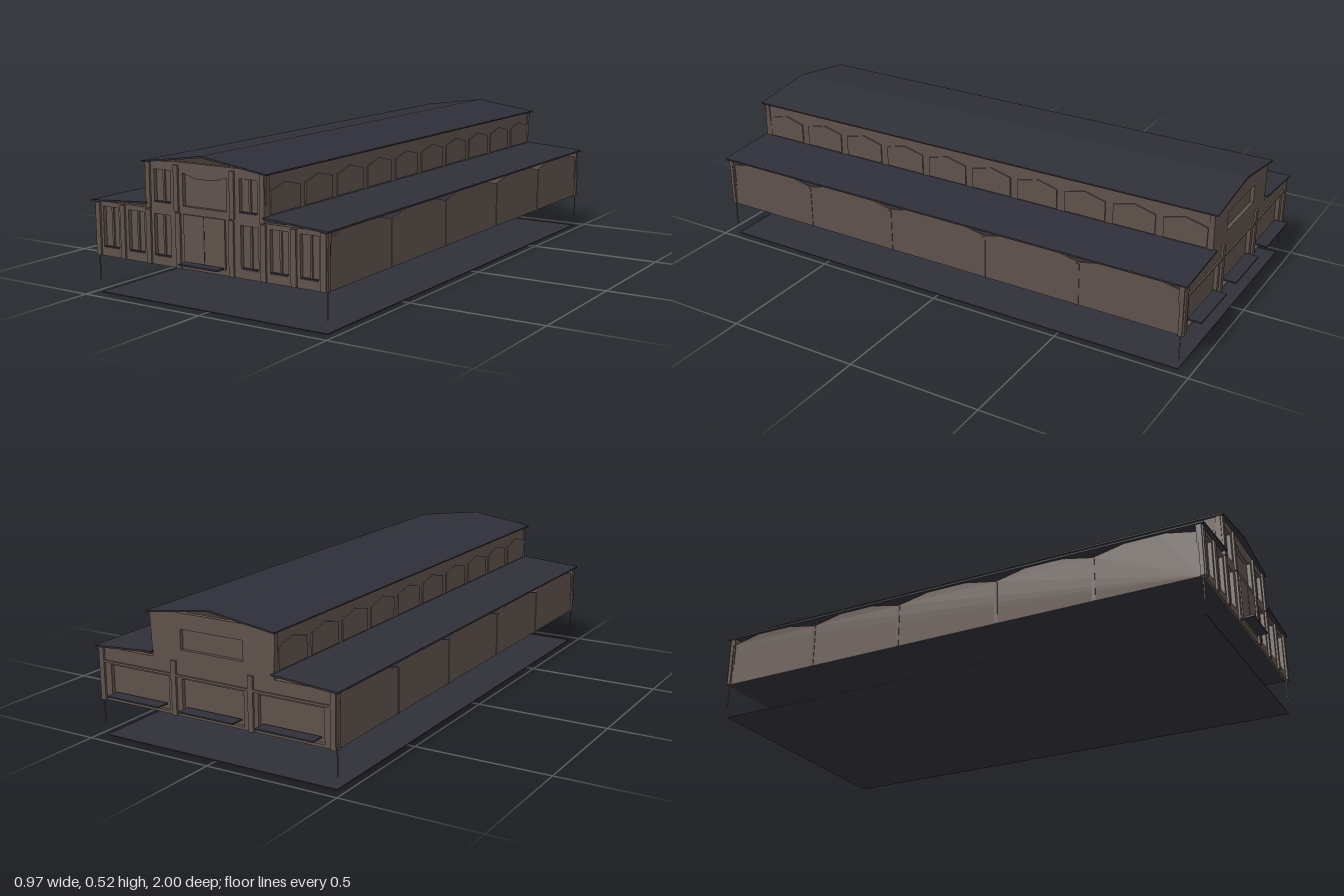
import * as THREE from 'three';

const wallMat = new THREE.MeshStandardMaterial({ color: 0x5e514b, side: THREE.DoubleSide });
wallMat.name = 'brown wall';
const roofMat = new THREE.MeshStandardMaterial({ color: 0x2f2f39, side: THREE.DoubleSide });
roofMat.name = 'dark slate';

export function createModel() {
  const model = new THREE.Group();
  model.name = 'marketHall';

  const add = (name, geo, mat, x = 0, y = 0, z = 0, parent = model) => {
    const m = new THREE.Mesh(geo, mat);
    m.name = name;
    m.position.set(x, y, z);
    parent.add(m);
    return m;
  };
  const box = (name, w, h, d, mat, x, y, z, parent) =>
    add(name, new THREE.BoxGeometry(w, h, d), mat, x, y, z, parent);
  const vecs = pts => pts.map(p => new THREE.Vector2(p[0], p[1]));
  // Upright plate from an outline, with optional openings
  const plate = (pts, depth, holes = []) => {
    const s = new THREE.Shape(vecs(pts));
    holes.forEach(h => s.holes.push(new THREE.Path(vecs(h))));
    return new THREE.ExtrudeGeometry(s, { depth, bevelEnabled: false });
  };
  const opening = (x, w, y0, y1) => [[x - w / 2, y0], [x - w / 2, y1], [x + w / 2, y1], [x + w / 2, y0]];

  // Ground sheet and raised floor
  box('groundSheet', 0.94, 0.003, 1.9, roofMat, 0, 0.0015, 0);
  box('floor', 0.94, 0.003, 1.9, roofMat, 0, 0.136, 0);

  // Long side walls: bays with shallow peaked tops
  const bays = [-0.95, -0.57, -0.2, 0.2, 0.57, 0.95];
  const bayTop = [];
  for (let i = 0; i < 5; i++) {
    const a = bays[i], w = bays[i + 1] - a;
    bayTop.push([a, 0.3], [a + w * 0.38, 0.33], [a + w * 0.62, 0.33]);
  }
  bayTop.push([0.95, 0.3]);
  const sideOutline = [...bayTop, [0.95, 0.135], [-0.95, 0.135]];
  for (const s of [-1, 1]) {
    const side = add('sideWall', plate(sideOutline, 0.006), wallMat, s * 0.47 - 0.003);
    side.rotation.y = Math.PI / 2;
    for (const z of bays.slice(1, -1)) box('sidePier', 0.008, 0.16, 0.012, wallMat, s * 0.471, 0.215, z);

    // Clerestory wall with shallow peaked panels
    box('clerestoryWall', 0.006, 0.145, 1.9, wallMat, s * 0.242, 0.4075, 0);
    for (let i = 0; i < 10; i++) {
      const z = -0.855 + i * 0.19;
      const panel = add('clerestoryPanel', plate(
        [[-0.08, 0.35], [0.08, 0.35], [0.08, 0.425], [0, 0.445], [-0.08, 0.425]], 0.005),
        wallMat, s * 0.247 - 0.0025, 0, z);
      panel.rotation.y = Math.PI / 2;
    }

    // Aisle roof and corner downpipes
    add('aisleRoof', plate(
      [[s * 0.24, 0.346], [s * 0.487, 0.329], [s * 0.487, 0.323], [s * 0.24, 0.34]], 1.94),
      roofMat, 0, 0, -0.97);
    for (const z of [-0.952, 0.952]) {
      box('downpipe', 0.003, 0.28, 0.004, wallMat, s * 0.473, 0.185, z);
      box('cornerPost', 0.012, 0.19, 0.014, wallMat, s * 0.474, 0.23, z);
    }
  }

  // Main gabled roof
  add('mainRoof', plate(
    [[-0.256, 0.483], [0, 0.519], [0.256, 0.483], [0.256, 0.478], [0, 0.513], [-0.256, 0.478]], 1.94),
    roofMat, 0, 0, -0.97);

  // Front facade: lower storey with tall recessed windows
  const front = new THREE.Group();
  front.name = 'frontFacade';
  model.add(front);
  const lower = [[-0.47, 0.135], [0.47, 0.135], [0.48, 0.325], [-0.48, 0.325]];
  const upper = [[-0.243, 0.325], [0.243, 0.325], [0.25, 0.48], [0.14, 0.49], [-0.14, 0.49], [-0.25, 0.48]];
  const lowWindows = [-0.41, -0.295, -0.18, 0.18, 0.295, 0.41];
  add('lowerFront', plate(lower, 0.014, lowWindows.map(x => opening(x, 0.07, 0.165, 0.308))),
    wallMat, 0, 0, 0.943, front);
  add('lowerFrontBacking', plate(lower, 0.004), wallMat, 0, 0, 0.939, front);
  const archTop = [[-0.09, 0.345], [-0.09, 0.455], [-0.04, 0.44], [0.04, 0.44], [0.09, 0.455], [0.09, 0.345]];
  add('upperFront', plate(upper, 0.014,
    [opening(-0.177, 0.07, 0.347, 0.458), opening(0.177, 0.07, 0.347, 0.458), archTop]),
    wallMat, 0, 0, 0.943, front);
  add('upperFrontBacking', plate(upper, 0.004), wallMat, 0, 0, 0.939, front);
  for (const x of lowWindows) {
    box('windowMullion', 0.008, 0.14, 0.006, wallMat, x, 0.236, 0.946, front);
    box('windowSill', 0.07, 0.004, 0.01, roofMat, x, 0.167, 0.95, front);
  }
  for (const x of [-0.177, 0.177]) {
    box('upperMullion', 0.008, 0.11, 0.006, wallMat, x, 0.402, 0.946, front);
    box('upperSill', 0.07, 0.004, 0.01, roofMat, x, 0.349, 0.95, front);
  }
  for (const x of [0.11, 0.237, 0.353, 0.465])
    for (const s of [-1, 1]) box('frontPilaster', 0.02, 0.185, 0.01, wallMat, s * x, 0.2285, 0.959, front);
  for (const x of [0.115, 0.235])
    for (const s of [-1, 1]) box('upperPilaster', 0.018, 0.155, 0.01, wallMat, s * x, 0.4025, 0.959, front);
  box('entrancePanel', 0.17, 0.165, 0.008, wallMat, 0, 0.2375, 0.959, front);
  box('entranceSeam', 0.003, 0.155, 0.002, roofMat, 0, 0.24, 0.963, front);
  box('entranceCanopy', 0.16, 0.006, 0.05, roofMat, 0, 0.159, 0.975, front);

  // Back facade: three loading bays under canopies, gable window above
  const back = new THREE.Group();
  back.name = 'backFacade';
  model.add(back);
  const dockX = [-0.305, 0, 0.305];
  add('lowerBack', plate(lower, 0.014, dockX.map(x => opening(x, 0.25, 0.145, 0.265))),
    wallMat, 0, 0, -0.957, back);
  add('lowerBackBacking', plate(lower, 0.004), wallMat, 0, 0, -0.943, back);
  add('upperBack', plate(upper, 0.014, [opening(0, 0.25, 0.365, 0.435)]), wallMat, 0, 0, -0.957, back);
  add('upperBackBacking', plate(upper, 0.004), wallMat, 0, 0, -0.943, back);
  for (const x of dockX) box('dockCanopy', 0.22, 0.005, 0.05, roofMat, x, 0.165, -0.975, back);
  for (const x of [-0.465, -0.155, 0.155, 0.465])
    box('backPilaster', 0.02, 0.19, 0.01, wallMat, x, 0.23, -0.96, back);
  box('backBand', 0.94, 0.008, 0.008, wallMat, 0, 0.275, -0.959, back);

  return model;
}
